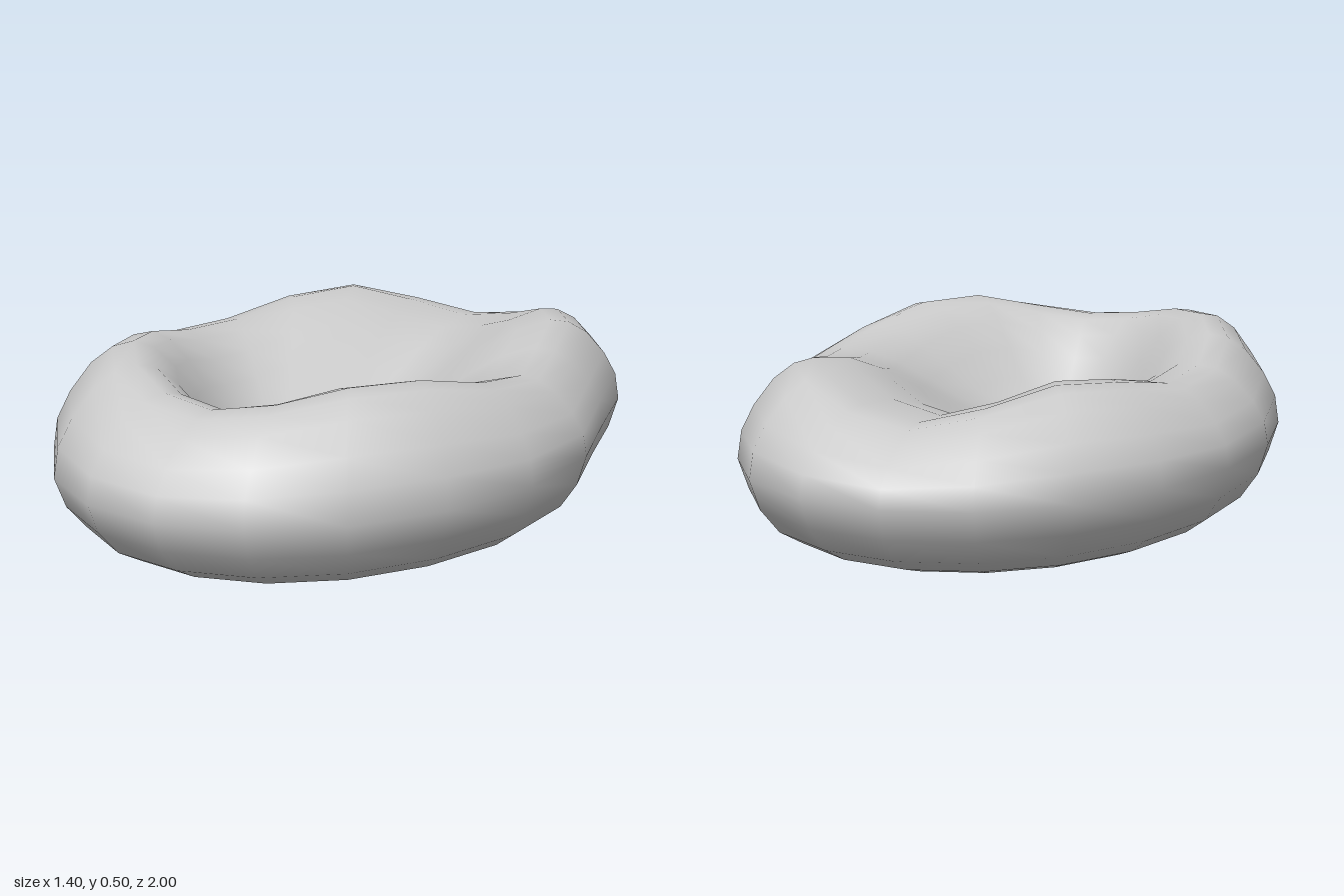
import * as THREE from 'three';
import { mergeVertices } from 'three/addons/utils/BufferGeometryUtils.js';

const SEGMENTS = 20;
const WAIST = 0.23;
const PIT = { x: -0.02, y: 0.195, z: 0.32 }; // deepest point of the hollow

// Underside up to the waist: [radius fraction, height]
const LOWER = [
  [0, 0.012], [0.35, 0.008], [0.6, 0.003], [0.73, 0.015], [0.82, 0.042],
  [0.9, 0.083], [0.965, 0.15], [1, WAIST],
];
// Waist up to the crest: [radius fraction, share of the way up]
const UPPER = [[0.985, 0.3], [0.94, 0.56], [0.87, 0.82], [0.8, 0.96], [0.73, 1]];
// Hollow, from the crest to the pit: [radius fraction, share of the way down]
const HOLLOW = [[0.63, 0.05], [0.53, 0.21], [0.43, 0.44], [0.32, 0.69], [0.21, 0.88], [0.1, 0.97], [0, 1]];

// Crest height: four soft corners, lower at the sides and lowest at the back;
// the corners on the -x side are turned a little
function crest(a) {
  const turned = a - 0.2 * Math.max(0, -Math.cos(a));
  const s = Math.sin(a);
  return 0.425 + 0.018 * s + 0.07 * Math.sin(2 * turned) ** 2 - 0.02 * Math.max(0, -s) ** 4;
}

// Oval plan with a slight pinch on one side towards the back
function plan(a, r) {
  const d = Math.atan2(Math.sin(a + 0.33), Math.cos(a + 0.33));
  const pinch = 0.06 * Math.exp(-((d / 0.3) ** 2));
  return [r * (0.708 * Math.cos(a) - pinch) + 0.007, r * Math.sin(a)];
}

function cushionGeometry() {
  const positions = [], index = [];
  const angles = Array.from({ length: SEGMENTS }, (_, j) => (j / SEGMENTS) * Math.PI * 2);
  const addRing = (r, place) => {
    for (const a of angles) positions.push(...place(a, ...plan(a, r)));
  };
  for (const [r, y] of LOWER) addRing(r, (a, x, z) => [x, y, z]);
  for (const [r, u] of UPPER) addRing(r, (a, x, z) => [x, WAIST + u * (crest(a) - WAIST), z]);
  // The rings of the hollow slide towards the pit: steep front wall, long slope to the back
  for (const [r, t] of HOLLOW) {
    const slide = 1 - r / 0.73;
    addRing(r, (a, x, z) => [x + PIT.x * slide, crest(a) * (1 - t) + PIT.y * t, z + PIT.z * slide]);
  }
  // Skin between neighbouring rings, closed to a point at both ends
  const last = LOWER.length + UPPER.length + HOLLOW.length - 2;
  for (let i = 0; i <= last; i++) {
    for (let j = 0; j < SEGMENTS; j++) {
      const a = i * SEGMENTS + j, b = i * SEGMENTS + ((j + 1) % SEGMENTS);
      const c = a + SEGMENTS, d = b + SEGMENTS;
      if (i < last) index.push(a, c, d);
      if (i > 0) index.push(a, d, b);
    }
  }
  const geometry = new THREE.BufferGeometry();
  geometry.setAttribute('position', new THREE.Float32BufferAttribute(positions, 3));
  geometry.setIndex(index);
  const merged = mergeVertices(geometry, 1e-4);
  merged.computeVertexNormals();
  return merged;
}

export function createModel() {
  const group = new THREE.Group();
  group.name = 'beanbagSeat';
  const cushion = new THREE.Mesh(cushionGeometry(), new THREE.MeshStandardMaterial({ color: 0xcccccc }));
  cushion.name = 'cushion';
  group.add(cushion);
  return group;
}
